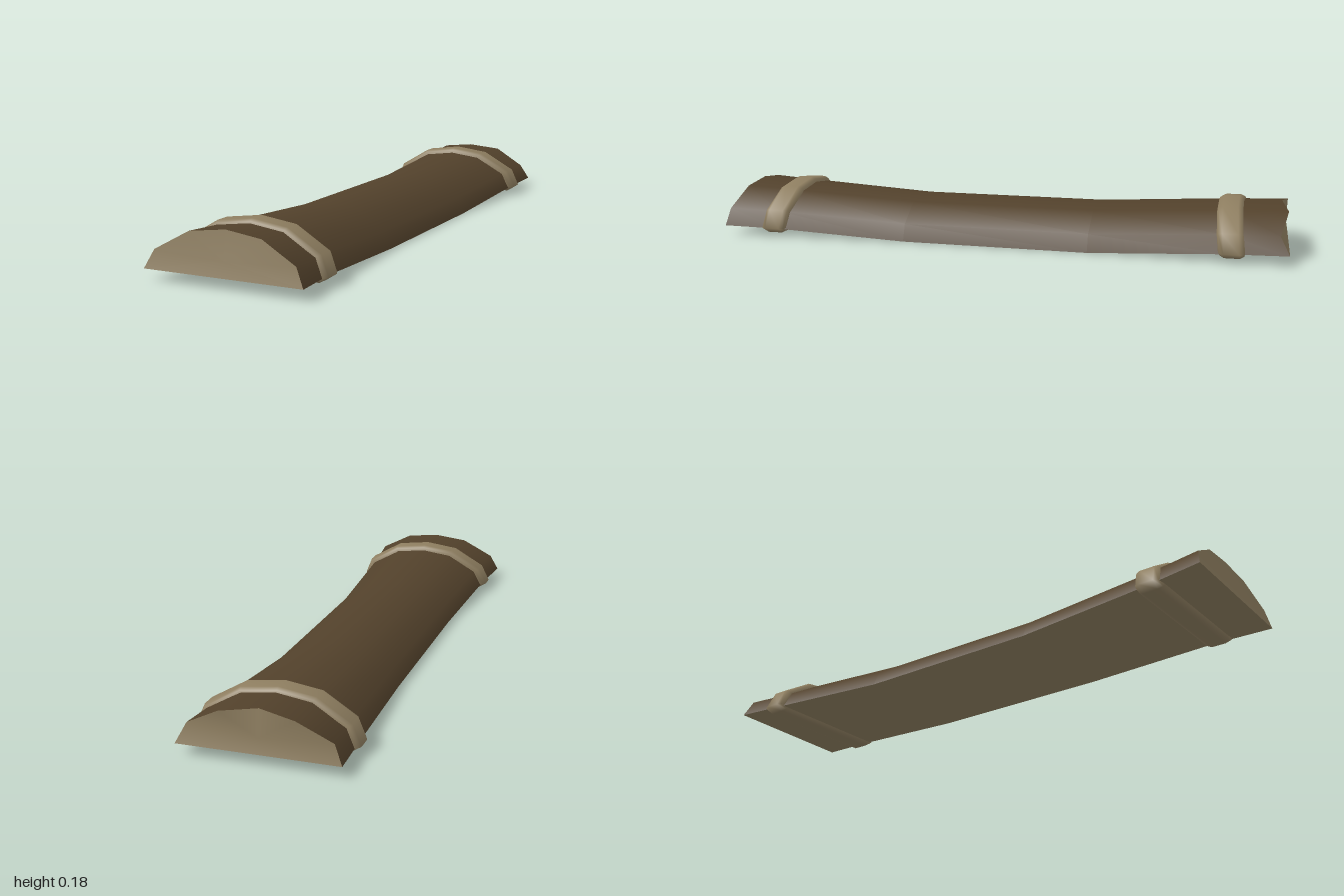
import * as THREE from 'three';

// Normalised half-round outline, from -x over the top to +x
const U = [-1, -0.89, -0.46, 0, 0.46, 0.9, 1];
const V = [0, 0.43, 0.89, 1, 0.89, 0.43, 0];

// Stations along the log: z, half width, base height, top height
const STATIONS = [
  [-1, 0.258, 0.037, 0.172],
  [-0.8, 0.247, 0.03, 0.166],
  [-0.33, 0.222, 0.005, 0.14],
  [0.33, 0.222, 0.007, 0.14],
  [0.8, 0.247, 0.03, 0.166],
  [1, 0.27, 0.037, 0.175],
];
// z of the ragged sawn ends, per outline point
const BACK_Z = [-0.985, -0.966, -0.985, -0.966, -0.99, -0.968, -1];
const FRONT_Z = [1, 0.985, 0.972, 0.967, 0.972, 0.985, 0.995];

// Skins a list of equal-length rows of points
function loft(rows, closed = false) {
  const n = rows[0].length;
  const index = [];
  for (let i = 0; i < rows.length - 1; i++) {
    for (let j = 0; j < (closed ? n : n - 1); j++) {
      const a = i * n + j, b = i * n + ((j + 1) % n);
      index.push(a, a + n, b, b, a + n, b + n);
    }
  }
  return build(rows.flat(), index);
}

function build(points, index) {
  const g = new THREE.BufferGeometry();
  g.setAttribute('position', new THREE.Float32BufferAttribute(points.flat(), 3));
  g.setIndex(index);
  g.computeVertexNormals();
  return g;
}

// Sawn end: a fan around a centre point
function endCap(rim, facing) {
  const n = rim.length;
  const z = rim.reduce((s, p) => s + p[2], 0) / n;
  const index = [];
  for (let j = 0; j < n; j++) {
    const k = (j + 1) % n;
    index.push(n, ...(facing > 0 ? [k, j] : [j, k]));
  }
  return build([...rim, [0, 0.085, z]], index);
}

// Rounded band wrapped around the log, bowed towards the middle at its crown
function bandGeometry(side) {
  const section = [[-0.045, -0.006], [-0.04, 0.009], [-0.026, 0.016], [0.026, 0.016], [0.04, 0.009], [0.045, -0.006]];
  const rows = section.map(([dz, o]) => {
    const hw = 0.25 + o, base = 0.033, top = 0.165 + o;
    const zAt = (v) => side * (0.815 - 0.018 * v) + dz;
    const row = U.map((u, j) => [u * hw, base + V[j] * (top - base), zAt(V[j])]);
    row.push([hw - 0.03, 0.03 - o, zAt(0)], [-hw + 0.03, 0.03 - o, zAt(0)]);
    return row;
  });
  return loft(rows, true);
}

export function createModel() {
  const bark = new THREE.MeshStandardMaterial({ name: 'dark bark', color: 0x52412b });
  const wood = new THREE.MeshStandardMaterial({ name: 'pale wood', color: 0x8e7e60 });
  const group = new THREE.Group();
  group.name = 'halfLog';
  const add = (name, geometry, material) => {
    const mesh = new THREE.Mesh(geometry, material);
    mesh.name = name;
    group.add(mesh);
  };

  const last = STATIONS.length - 1;
  const rows = STATIONS.map(([z, hw, base, top], i) => U.map((u, j) => [
    u * hw,
    base + V[j] * (top - base) - (i === 2 || i === 3 ? 0.004 * u * (1 - V[j]) : 0),
    i === 0 ? BACK_Z[j] : i === last ? FRONT_Z[j] : z,
  ]));

  // Curved bark and flat cut underside
  add('barkTop', loft(rows), bark);
  add('cutUnderside', loft(rows.map((r) => [r[6], r[0]])), wood);

  // Sawn ends
  add('backEnd', endCap(rows[0], -1), wood);
  add('frontEnd', endCap(rows[last], 1), wood);

  // Bands near both ends
  add('backBand', bandGeometry(-1), wood);
  add('frontBand', bandGeometry(1), wood);

  return group;
}
